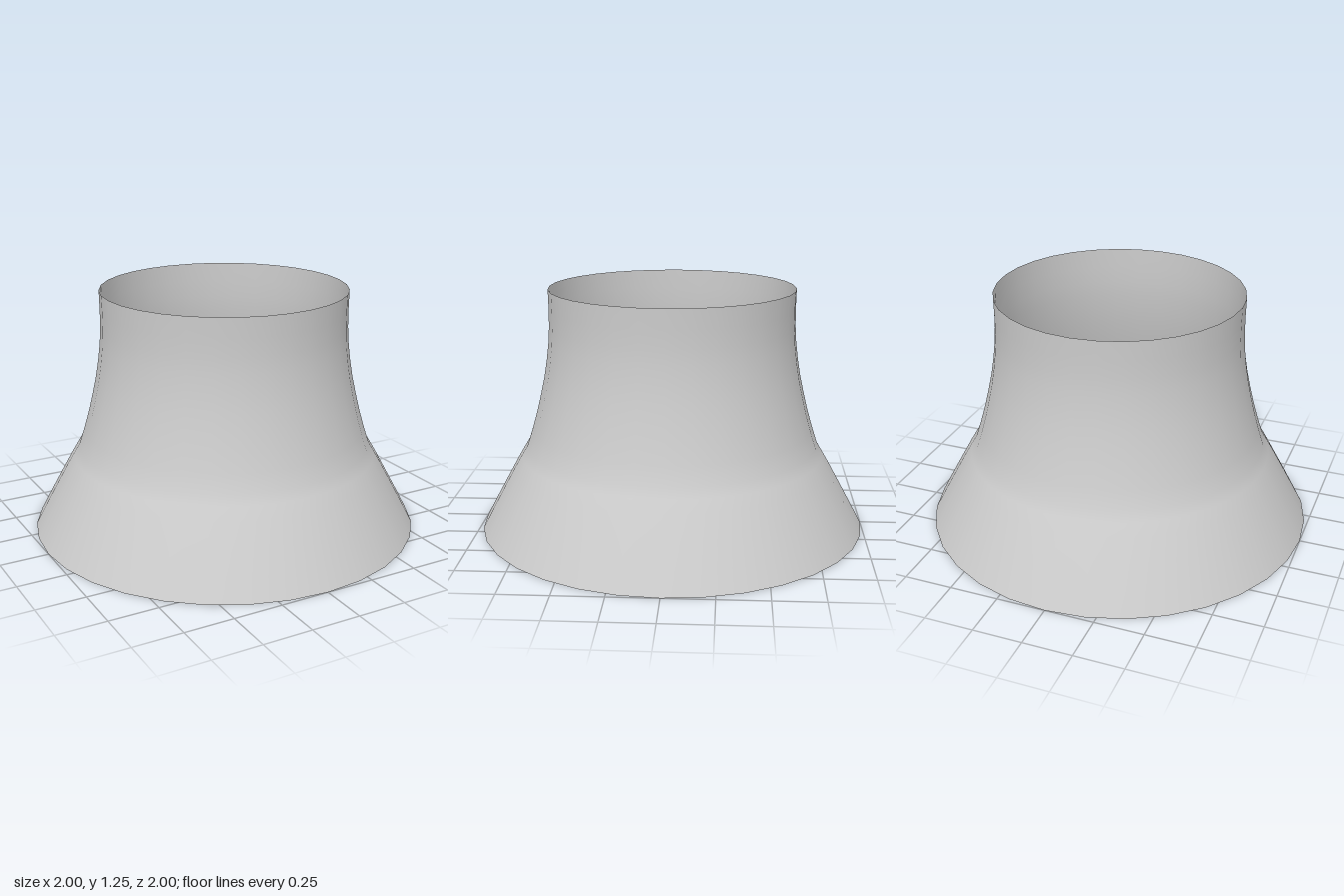
import * as THREE from 'three';

export function createModel() {
  const group = new THREE.Group();
  group.name = 'flaredCollar';

  // Profile from the wide foot, over a soft bend, up to the straight neck
  const profile = [
    [1.0, 0], [0.945, 0.104], [0.885, 0.215], [0.822, 0.33], [0.787, 0.39],
    [0.757, 0.44], [0.728, 0.53], [0.702, 0.62], [0.68, 0.71], [0.66, 0.8],
    [0.645, 0.89], [0.634, 0.98], [0.629, 1.06], [0.628, 1.15], [0.63, 1.25],
  ].map(([r, y]) => new THREE.Vector2(r, y));

  // Thin open shell, seen from both sides
  const shell = new THREE.Mesh(
    new THREE.LatheGeometry(profile, 32),
    new THREE.MeshStandardMaterial({ color: 0xcccccc, side: THREE.DoubleSide })
  );
  shell.name = 'flaredShell';
  group.add(shell);
  return group;
}
